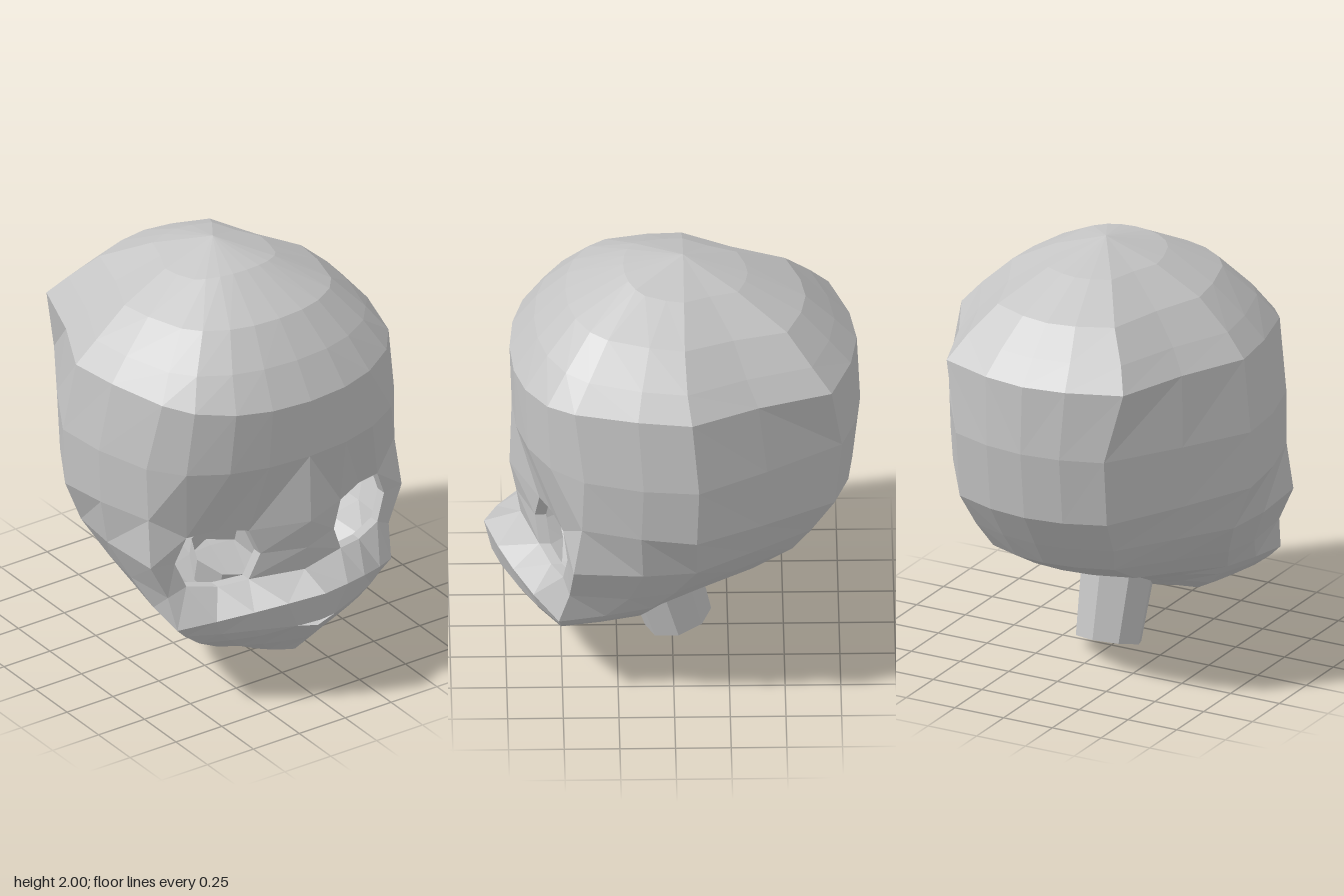
import * as THREE from 'three';

// Half outlines of a cross-section, front centre to back centre:
// [width fraction, depth fraction]; depth is + toward the face, - toward the back
const DOME = [[0, 1], [0.27, 0.98], [0.5, 0.92], [0.72, 0.8], [0.85, 0.65], [0.96, 0.3], [1, 0],
  [0.79, -0.4], [0.625, -0.84], [0.28, -0.96], [0, -1]];
const SIDES = [[0, 1], [0.27, 0.98], [0.5, 0.92], [0.72, 0.8], [0.87, 0.62], [0.97, 0.3], [1, 0],
  [0.77, -0.42], [0.49, -0.88], [0.24, -0.97], [0, -1]];
const CHEEKS = [[0, 1], [0.27, 0.98], [0.5, 0.92], [0.8, 0.8], [0.97, 0.69], [1, 0.3], [0.97, 0],
  [0.74, -0.42], [0.5, -0.85], [0.25, -0.96], [0, -1]];
const JAW = [[0, 1], [0.27, 0.92], [0.5, 0.83], [0.74, 0.71], [0.97, 0.56], [0.95, 0.28], [0.9, 0],
  [0.71, -0.4], [0.53, -0.81], [0.25, -0.96], [0, -1]];
const HALF = 10, COLS = 20;

// Cross-sections from crown to chin:
// [outline, front y, side y, back y, half width, front z, widest z, back z]
const RINGS = [
  [DOME, 2.0, 2.0, 2.0, 0, -0.05, -0.05, -0.05],
  [DOME, 1.95, 1.92, 1.9, 0.26, 0.22, -0.05, -0.34],
  [DOME, 1.82, 1.81, 1.77, 0.48, 0.48, -0.05, -0.6],
  [DOME, 1.67, 1.665, 1.645, 0.63, 0.62, -0.06, -0.73],
  [DOME, 1.51, 1.56, 1.54, 0.725, 0.73, -0.08, -0.83],
  [SIDES, 1.22, 1.22, 1.22, 0.775, 0.72, -0.11, -0.845],
  [SIDES, 0.89, 0.97, 0.9, 0.77, 0.73, -0.1, -0.81],
  [CHEEKS, 0.74, 0.73, 0.74, 0.705, 0.7, -0.1, -0.71],
  [CHEEKS, 0.62, 0.54, 0.62, 0.62, 0.68, 0.0, -0.63],
  [JAW, 0.57, 0.41, 0.525, 0.6, 0.845, 0.1, -0.46],
  [JAW, 0.42, 0.36, 0.47, 0.55, 0.81, 0.12, -0.25],
  [JAW, 0.38, 0.3, 0.39, 0.47, 0.785, 0.15, -0.07],
  [JAW, 0.27, 0.24, 0.31, 0.36, 0.69, 0.22, 0.07],
  [JAW, 0.17, 0.2, 0.24, 0.22, 0.6, 0.35, 0.2],
  [JAW, 0.2, 0.2, 0.2, 0, 0.38, 0.38, 0.38],
];

// Position of one point of the head surface
function headPoint(r, col) {
  const side = col > HALF ? -1 : 1;
  const c = col > HALF ? COLS - col : col;
  // eye openings: eight points around a tilted oval
  if (r >= 6 && r <= 8 && c >= 1 && c <= 3) {
    const x = 0.385 + (c - 2) * (r === 7 ? 0.185 : 0.135);
    const y = 0.735 + (7 - r) * (c === 2 ? 0.145 : 0.125);
    return [side * x, y, 0.695 - 0.38 * x];
  }
  // mouth corners, shared by the upper and lower lip
  if ((r === 10 || r === 11) && c === 1) return [side * 0.1, 0.4, 0.77];

  const [outline, yF, yS, yB, w, zF, zW, zB] = RINGS[r];
  const [fx, fz] = outline[c];
  const z = fz > 0 ? zW + (zF - zW) * fz : zW - (zB - zW) * fz;
  // height runs from front to cheek, then from cheek to back
  const y = fz > 0.56 ? yS + (yF - yS) * (fz - 0.56) / 0.44 : yS + (yB - yS) * (0.56 - fz) / 1.56;
  return [side * w * fx, y, z];
}

// Cells left open for the eyes and the mouth
function isOpen(r, col) {
  const c = col >= HALF ? COLS - 1 - col : col;
  return ((r === 6 || r === 7) && (c === 1 || c === 2)) || (r === 10 && c === 0);
}

function geometryFrom(positions, index) {
  const g = new THREE.BufferGeometry();
  g.setAttribute('position', new THREE.Float32BufferAttribute(positions, 3));
  g.setIndex(index);
  const flat = g.toNonIndexed();
  flat.computeVertexNormals();
  return flat;
}

// Band of the head between two cross-sections
function shell(from, to) {
  const pos = [], idx = [];
  for (let r = from; r <= to; r++)
    for (let c = 0; c < COLS; c++) pos.push(...headPoint(r, c));
  for (let r = from; r < to; r++) {
    for (let c = 0; c < COLS; c++) {
      if (isOpen(r, c)) continue;
      const n = (c + 1) % COLS, k = (r - from) * COLS;
      const a = k + c, b = k + COLS + c, d = k + COLS + n, e = k + n;
      if (RINGS[r][4] === 0) idx.push(a, b, d);
      else if (RINGS[r + 1][4] === 0) idx.push(a, d, e);
      else if (c < HALF) idx.push(a, b, d, a, d, e);
      else idx.push(a, b, e, b, d, e); // mirrored diagonal
    }
  }
  return geometryFrom(pos, idx);
}

// Short inward wall around an eye opening
function eyeRim(side) {
  const loop = [[6, 1], [7, 1], [8, 1], [8, 2], [8, 3], [7, 3], [6, 3], [6, 2]];
  const pos = [], idx = [];
  loop.forEach(([r, c], i) => {
    const [x, y, z] = headPoint(r, c);
    pos.push(side * x, y, z, side * x, y, z - 0.05);
    const a = i * 2, b = ((i + 1) % 8) * 2;
    if (side > 0) idx.push(a, b, b + 1, a, b + 1, a + 1);
    else idx.push(a, b + 1, b, a, a + 1, b + 1);
  });
  return geometryFrom(pos, idx);
}

export function createModel() {
  const model = new THREE.Group();
  model.name = 'head';
  const grey = new THREE.MeshStandardMaterial({ color: 0xc4c4c4, flatShading: true, side: THREE.DoubleSide });
  grey.name = 'light grey';

  const add = (name, geometry) => {
    const mesh = new THREE.Mesh(geometry, grey);
    mesh.name = name;
    model.add(mesh);
    return mesh;
  };

  add('cranium', shell(0, 4));
  add('face', shell(4, 8));
  add('muzzleAndJaw', shell(8, 14));
  add('leftEyeRim', eyeRim(1));
  add('rightEyeRim', eyeRim(-1));

  // Open neck tube, leaning forward toward the top
  const neck = add('neck', new THREE.CylinderGeometry(0.18, 0.155, 0.42, 8, 1, true));
  const lean = 0.28;
  neck.rotation.x = lean;
  neck.position.set(0, 0.043 + 0.21 * Math.cos(lean), -0.027 + 0.21 * Math.sin(lean));

  return model;
}
